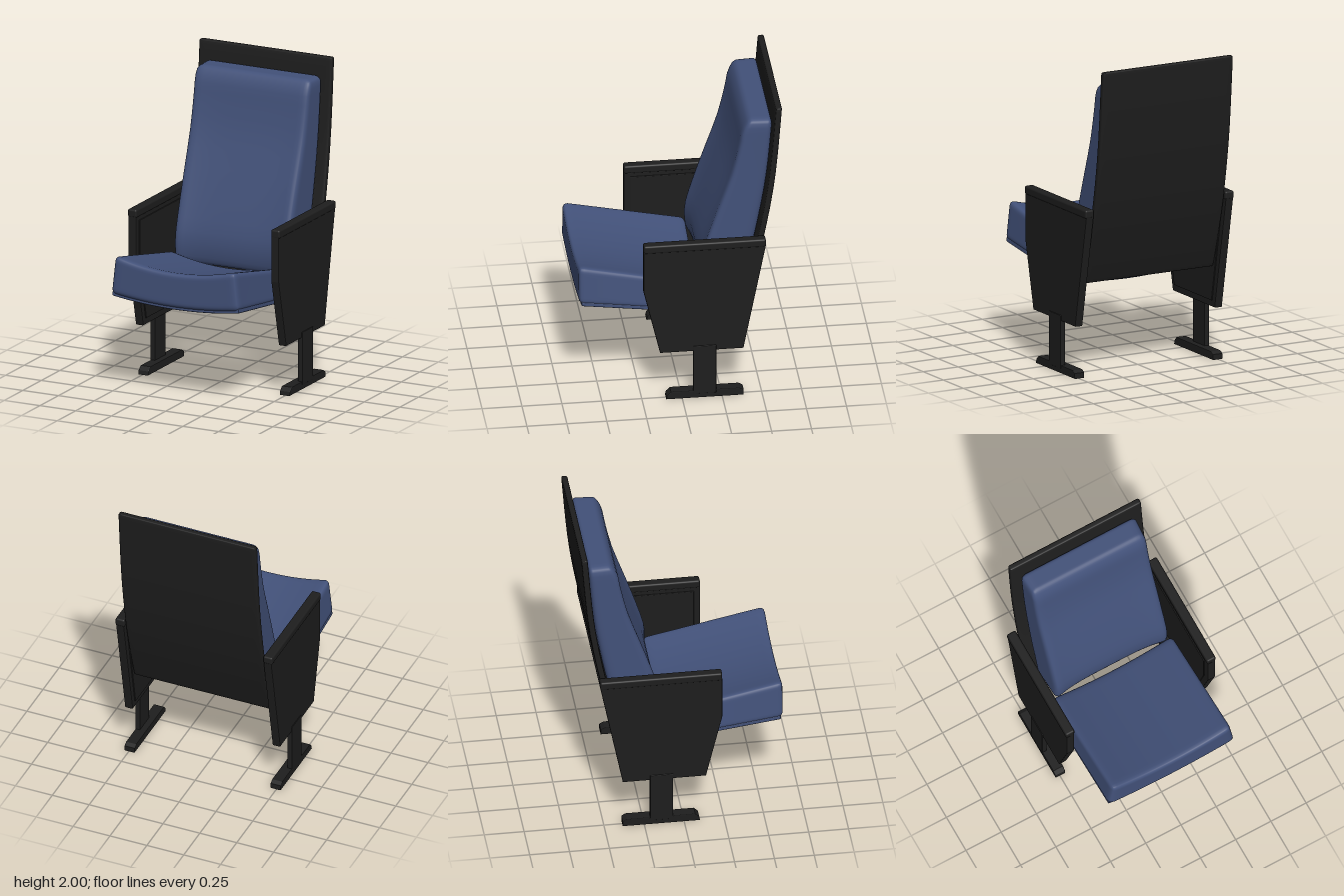
import * as THREE from 'three';
import { mergeVertices } from 'three/addons/utils/BufferGeometryUtils.js';
import { RoundedBoxGeometry } from 'three/addons/geometries/RoundedBoxGeometry.js';

const fabric = new THREE.MeshStandardMaterial({ color: 0x425179 });
fabric.name = 'blue fabric';
const plastic = new THREE.MeshStandardMaterial({ color: 0x1e1e1e });
plastic.name = 'black plastic';

const lerp = THREE.MathUtils.lerp;

function named(name, geometry, material) {
  const mesh = new THREE.Mesh(geometry, material);
  mesh.name = name;
  return mesh;
}

// Smooth function z(y) through [y, z] points
function spline(points) {
  const pts = new THREE.SplineCurve(points.map(p => new THREE.Vector2(...p))).getPoints(80);
  return y => {
    let i = 1;
    while (i < pts.length - 1 && pts[i].x < y) i++;
    const a = pts[i - 1], b = pts[i];
    return lerp(a.y, b.y, (y - a.x) / (b.x - a.x));
  };
}

// Rounded block bent by warp(u, v, t): u from -1 to 1 across, v from 0 to 1 up, t from 0 to 1 forward
function softBlock(w, h, d, r, warp) {
  const size = [w, h, d];
  const box = new THREE.BoxGeometry(2, 2, 2, 20, 20, 20);
  box.deleteAttribute('normal');
  box.deleteAttribute('uv');
  const geo = mergeVertices(box);
  const pos = geo.attributes.position;
  for (let i = 0; i < pos.count; i++) {
    // rows crowd towards the edges so the rounding stays smooth
    const p = [pos.getX(i), pos.getY(i), pos.getZ(i)].map((c, k) =>
      Math.sign(c) * (1 - (1 - Math.abs(c)) ** 2) * size[k] / 2);
    const core = p.map((c, k) => THREE.MathUtils.clamp(c, r - size[k] / 2, size[k] / 2 - r));
    const off = new THREE.Vector3(...p.map((c, k) => c - core[k])).setLength(r);
    const q = off.toArray().map((c, k) => (core[k] + c) / size[k]);
    pos.setXYZ(i, ...warp(q[0] * 2, q[1] + 0.5, q[2] + 0.5));
  }
  geo.computeVertexNormals();
  return geo;
}

// Side outline of [z, y] points, extruded from x0 to x1
function sidePlate(points, x0, x1, bevel) {
  const shape = new THREE.Shape(points.map(p => new THREE.Vector2(...p)));
  const geo = new THREE.ExtrudeGeometry(shape, {
    depth: x1 - x0 - 2 * bevel, bevelThickness: bevel,
    bevelSize: bevel, bevelOffset: -bevel, bevelSegments: 2,
  });
  geo.rotateY(-Math.PI / 2);
  geo.translate(x1 - bevel, 0, 0);
  return geo;
}

function block(x, y, z, r) {
  return new RoundedBoxGeometry(x, y, z, 3, r);
}

export function createModel() {
  const model = new THREE.Group();
  model.name = 'auditoriumChair';

  // Curved back shell
  const shellBack = spline([[0.6, -0.385], [0.85, -0.461], [1.1, -0.524], [1.5, -0.591], [2, -0.635]]);
  model.add(named('backShell', softBlock(0.93, 1.4, 0.04, 0.012, (u, v, t) => {
    const y = 0.6 + 1.4 * v;
    return [0.465 * u, y, shellBack(y) + 0.04 * t];
  }), plastic));

  // Backrest cushion, hollowed towards its lower front
  const cushionFront = spline([[0.68, -0.125], [0.8, -0.112], [0.9, -0.121], [1.1, -0.183], [1.3, -0.253],
    [1.5, -0.324], [1.7, -0.373], [1.8, -0.392], [1.885, -0.43]]);
  model.add(named('backCushion', softBlock(0.82, 1.205, 0.25, 0.045, (u, v, t) => {
    const y = 0.68 + 1.205 * v;
    const hollow = 0.037 * (1 - u ** 4) * (1 - v);
    return [u * lerp(0.41, 0.4, t), y, lerp(shellBack(y) + 0.043, cushionFront(y) - hollow, t)];
  }), fabric));

  // Seat: sagging cushion over a thin upholstered pan
  const panBottom = (u, z) => 0.574 + 0.132 * z - 0.035 * (1 - u * u);
  const seatTop = (u, z) => 0.788 + 0.215 * z - 0.062 * (1 - u * u);
  model.add(named('seatCushion', softBlock(0.89, 0.24, 0.76, 0.035, (u, v, t) => {
    const z = lerp(-0.133, 0.635, t);
    return [u * lerp(0.449, 0.42, v), lerp(panBottom(u, z) + 0.012, seatTop(u, z), v), z];
  }), fabric));
  model.add(named('seatPan', softBlock(0.88, 0.03, 0.75, 0.008, (u, v, t) => {
    const z = lerp(-0.125, 0.62, t);
    return [0.443 * u, panBottom(u, z) + 0.03 * v, z];
  }), fabric));

  // Side stands
  const panel = [[0.24, 1.06], [0.24, 0.77], [0.138, 0.333], [-0.384, 0.333], [-0.525, 1.06]];
  const inset = [[0.2, 1.03], [0.2, 0.775], [0.11, 0.375], [-0.355, 0.375], [-0.48, 1.03]];
  const foot = [[0.1, 0], [0.095, 0.025], [0.07, 0.05], [-0.36, 0.05], [-0.385, 0.035], [-0.385, 0]];
  for (const s of [1, -1]) {
    const side = new THREE.Group();
    side.name = s > 0 ? 'leftSide' : 'rightSide';
    const plate = (name, points, a, b, bevel) => side.add(named(name,
      sidePlate(points, Math.min(s * a, s * b), Math.max(s * a, s * b), bevel), plastic));
    plate('sidePanel', panel, 0.473, 0.527, 0.006);
    plate('innerInset', inset, 0.466, 0.48, 0.003);
    plate('foot', foot, 0.46, 0.53, 0.004);

    const armrest = named('armrest', block(0.062, 0.053, 0.765, 0.012), plastic);
    armrest.position.set(s * 0.501, 1.0785, -0.1425);
    // leg ends in a tab lapping over the panel
    const leg = named('leg', block(0.032, 0.34, 0.144, 0.003), plastic);
    leg.position.set(s * 0.516, 0.2, -0.141);
    side.add(armrest, leg);
    model.add(side);
  }
  return model;
}
